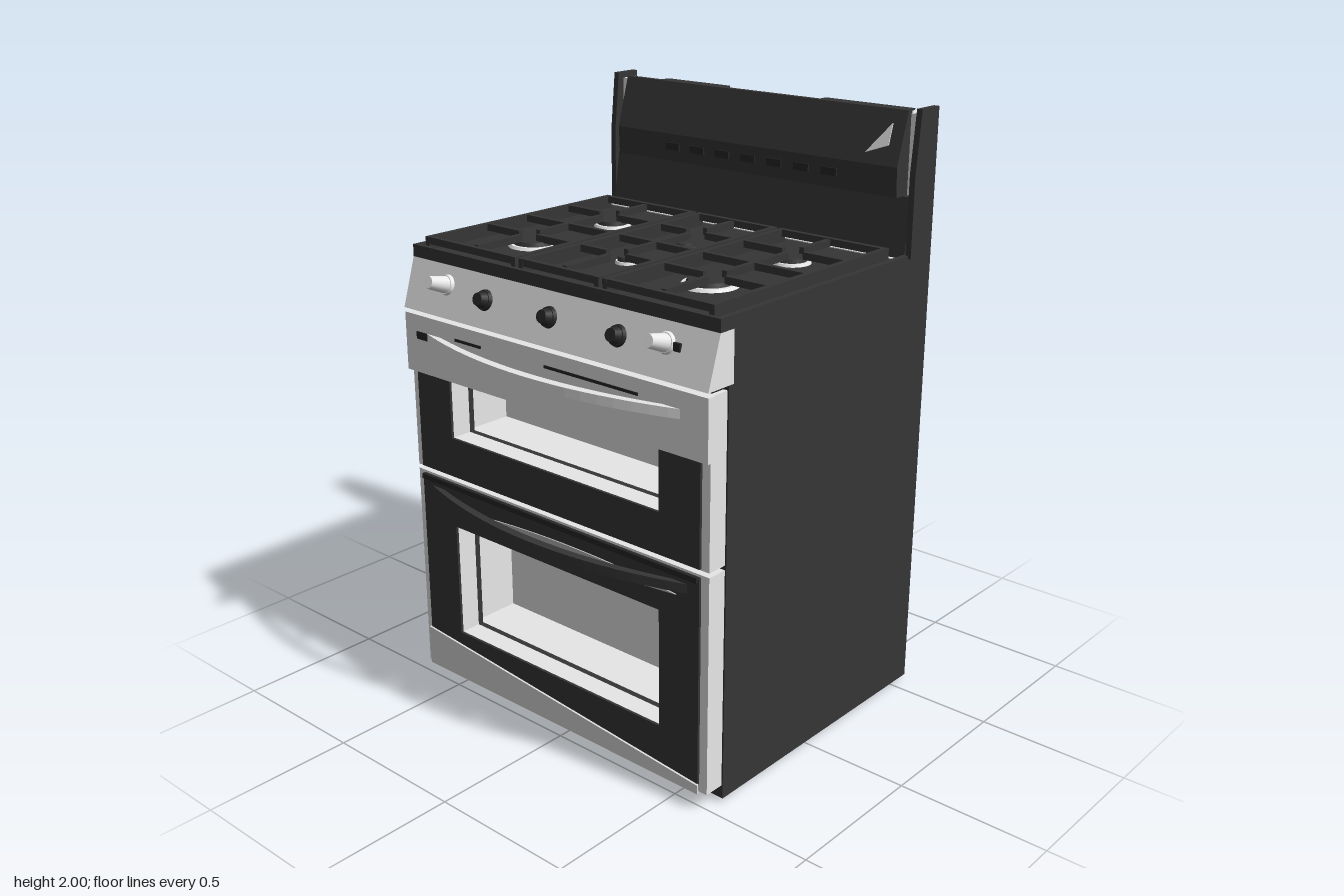
import * as THREE from 'three';

const mat = (name, color, side = THREE.FrontSide) => {
  const m = new THREE.MeshStandardMaterial({ color, side });
  m.name = name;
  return m;
};

export function createModel() {
  const range = new THREE.Group();
  range.name = 'gasRange';
  const enamel = mat('charcoal enamel', 0x353535);
  const black = mat('black trim', 0x262626);
  const steel = mat('brushed steel', 0xf0f0f0);
  const sheet = mat('rear sheet metal', 0xdcdcdc);
  const under = mat('underside grey', 0xb6b6b6);

  const add = (name, geo, m, x = 0, y = 0, z = 0) => {
    const mesh = new THREE.Mesh(geo, m);
    mesh.name = name;
    mesh.position.set(x, y, z);
    range.add(mesh);
    return mesh;
  };
  // box given by its limits on each axis
  const box = (name, m, x0, x1, y0, y1, z0, z1) =>
    add(name, new THREE.BoxGeometry(x1 - x0, y1 - y0, z1 - z0), m, (x0 + x1) / 2, (y0 + y1) / 2, (z0 + z1) / 2);
  const poly = (pts) => new THREE.Shape(pts.map(([a, b]) => new THREE.Vector2(a, b)));
  const extrude = (shape, depth) => new THREE.ExtrudeGeometry(shape, { depth, bevelEnabled: false, curveSegments: 20 });
  // a [z, y] profile pulled along x
  const across = (name, m, pts, width, x = 0) =>
    add(name, extrude(poly(pts), width).rotateY(-Math.PI / 2).translate(width / 2, 0, 0), m, x);
  const rect = (x0, x1, y0, y1) => [[x0, y0], [x1, y0], [x1, y1], [x0, y1]];
  // rectangular frame with a window opening
  const frame = (name, m, outer, hole, z0, z1) => {
    const s = poly(rect(...outer));
    s.holes.push(poly(rect(...hole)));
    return add(name, extrude(s, z1 - z0), m, 0, 0, z0);
  };

  // cabinet sides, rising into the backguard ends
  for (const s of [-1, 1]) {
    across('sidePanel', enamel, [[-0.57, 0.015], [0.44, 0.015], [0.44, 1.49], [-0.455, 1.49], [-0.455, 1.8], [-0.475, 2], [-0.57, 2]], 0.02, s * 0.63);
    box('bottomRail', enamel, s * 0.59 - 0.03, s * 0.59 + 0.03, 0.015, 0.05, -0.55, 0.43);
  }
  box('bottomPanel', under, -0.62, 0.62, 0.03, 0.06, -0.5, 0.43);
  box('frontRail', enamel, -0.62, 0.62, 0.015, 0.06, 0.41, 0.44);
  for (const x of [-0.57, 0.57]) for (const z of [-0.5, 0.39])
    add('foot', new THREE.CylinderGeometry(0.03, 0.035, 0.03, 12), black, x, 0.015, z);

  // back: inner sheet and a deep raised cover notched at the bottom
  box('rearSheet', sheet, -0.62, 0.62, 0.03, 1.5, -0.51, -0.49);
  const cover = poly([[-0.63, 0.02], [-0.58, 0.02], [-0.58, 0.46], [-0.17, 0.46], [-0.17, 0.21], [0.28, 0.21], [0.28, 0.46],
    [0.59, 0.46], [0.59, 0.02], [0.63, 0.02], [0.63, 1.97], [-0.63, 1.97]]);
  add('rearCover', extrude(cover, 0.075), sheet, 0, 0, -0.583);
  // gently swollen skin over the cover
  const swell = (x, y) => -0.584 - 0.028 * Math.sqrt(Math.max(0, Math.cos((x / 0.63) * Math.PI / 2))) * Math.sin(Math.PI * (1.97 - y) / 1.52) ** 1.2;
  const skin = new THREE.PlaneGeometry(1.26, 1.5, 20, 16).rotateY(Math.PI).translate(0, 1.215, 0);
  const p = skin.attributes.position;
  for (let i = 0; i < p.count; i++) p.setZ(i, swell(p.getX(i), p.getY(i)));
  skin.computeVertexNormals();
  add('rearSkin', skin, sheet);
  // dark openings in the rear skin
  const openings = [
    [[-0.5, 1.655], [-0.38, 1.665], [-0.36, 1.71], [-0.5, 1.71]],
    [[0.24, 1.39], [0.37, 1.38], [0.39, 1.49]],
    [[-0.1, 0.7], [0.02, 0.71], [-0.01, 0.83]],
  ];
  for (const pts of openings) add('rearOpening', extrude(poly(pts), 0.009), black, 0, 0, swell(...pts[1]) - 0.005);
  for (let x = -0.34; x < 0.5; x += 0.085) {
    const z = swell(x + 0.03, 1.72);
    box('rearSlot', black, x, x + 0.06, 1.717, 1.723, z - 0.003, z + 0.005);
  }

  // two ovens, each with a cabinet front, liner and door
  const ovens = [
    { hole: [-0.45, 0.45, 0.94, 1.15], outer: [-0.61, 0.61, 0.8, 1.335] },
    { hole: [-0.45, 0.45, 0.23, 0.625], outer: [-0.61, 0.61, 0.06, 0.785] },
  ];
  for (const { hole, outer } of ovens) {
    const [x0, x1, y0, y1] = outer;
    const a = hole[2] - 0.01, b = hole[3] + 0.03;
    frame('cabinetFront', enamel, [-0.62, 0.62, y0 - 0.015, y1 + 0.015], hole, 0.42, 0.44);
    box('ovenBack', steel, -0.5, 0.5, a, b, 0.23, 0.24);
    box('ovenFloor', steel, -0.5, 0.5, a - 0.01, a, 0.23, 0.42);
    box('ovenRoof', steel, -0.5, 0.5, b, b + 0.01, 0.23, 0.42);
    for (const s of [-1, 1]) box('ovenWall', steel, s * 0.495 - 0.005, s * 0.495 + 0.005, a, b, 0.24, 0.42);
    frame('doorSlab', steel, [x0 - 0.025, x1 + 0.025, y0, y1], hole, 0.44, 0.51);
    frame('doorFace', enamel, [x0 + 0.005, x1 - 0.005, y0 + 0.005, y1 - 0.008], hole, 0.51, 0.519);
  }
  // upper door fascia with slits, and the lower door's tapering kick strip
  box('upperDoorBand', steel, -0.64, 0.64, 1.14, 1.335, 0.5, 0.528);
  box('bandSlit', black, -0.585, -0.535, 1.255, 1.28, 0.526, 0.531);
  for (const [x0, x1] of [[-0.4, -0.28], [0, 0.38]]) box('bandSlit', black, x0, x1, 1.283, 1.292, 0.526, 0.531);
  add('lowerDoorTrim', extrude(poly([[-0.61, 0.06], [0.61, 0.06], [0.61, 0.09], [-0.61, 0.2]]), 0.008), sheet, 0, 0, 0.518);
  box('doorGap', black, -0.62, 0.62, 1.335, 1.35, 0.43, 0.49);
  box('doorSealLine', black, -0.6, 0.6, 0.762, 0.78, 0.515, 0.528);

  // bowed door handles
  for (const [y, w, m] of [[1.265, 0.56, steel], [0.73, 0.56, enamel]]) {
    const s = new THREE.Shape();
    s.moveTo(-w, 0.52);
    s.quadraticCurveTo(0, 0.72, w, 0.52);
    s.lineTo(w - 0.06, 0.52);
    s.quadraticCurveTo(0, 0.66, -w + 0.06, 0.52);
    add('doorHandle', extrude(s, 0.03).rotateX(Math.PI / 2), m, 0, y + 0.015, 0);
  }
  // pale lens-shaped recess under the lower handle
  const lens = new THREE.Shape();
  lens.moveTo(-0.42, 0.69);
  lens.quadraticCurveTo(0.04, 0.745, 0.52, 0.7);
  lens.quadraticCurveTo(0.04, 0.655, -0.42, 0.69);
  add('handleRecess', extrude(lens, 0.006), under, 0, 0, 0.518);

  // slanted control panel: two tall steel knobs and three low black ones
  across('controlPanel', steel, [[0.42, 1.35], [0.53, 1.35], [0.48, 1.51], [0.42, 1.51]], 1.28);
  for (const x of [-0.46, -0.28, 0, 0.28, 0.46]) {
    const tall = Math.abs(x) > 0.4;
    const knob = new THREE.Group();
    knob.name = 'knob';
    const base = new THREE.Mesh(new THREE.CylinderGeometry(0.03, 0.034, 0.012, 20), tall ? steel : black);
    const cap = new THREE.Mesh(new THREE.CylinderGeometry(0.02, 0.028, tall ? 0.075 : 0.025, 20), tall ? steel : black);
    base.name = 'knobBase';
    cap.name = 'knobCap';
    base.position.y = 0.006;
    cap.position.y = tall ? 0.045 : 0.022;
    knob.add(base, cap);
    knob.position.set(x, tall ? 1.45 : 1.435, tall ? 0.498 : 0.503);
    knob.rotation.x = Math.PI / 2 - 0.3;
    range.add(knob);
  }
  for (const s of [-1, 1]) box('knobMark', black, s * 0.505 - 0.012, s * 0.505 + 0.012, 1.435, 1.46, 0.498, 0.507);

  // cooktop with a raised rim
  box('cooktop', enamel, -0.64, 0.64, 1.485, 1.535, -0.46, 0.48);
  for (const s of [-1, 1]) box('cooktopRim', enamel, s * 0.63 - 0.01, s * 0.63 + 0.01, 1.535, 1.55, -0.44, 0.48);
  box('cooktopRim', enamel, -0.62, 0.62, 1.535, 1.55, 0.465, 0.48);

  // burners
  for (const [x, z, r, m] of [[-0.38, -0.18, 0.06, steel], [0.38, -0.18, 0.06, steel], [-0.38, 0.19, 0.08, steel],
    [0.36, 0.19, 0.085, steel], [0, -0.11, 0.05, enamel], [0, 0.16, 0.035, steel]]) {
    add('burnerRing', new THREE.CylinderGeometry(r, r * 1.08, 0.01, 24), m, x, 1.539, z);
    add('burnerCap', new THREE.CylinderGeometry(r * 0.8, r * 0.86, 0.014, 24), enamel, x, 1.55, z);
  }

  // three cast grates
  for (const [x0, x1] of [[-0.6, -0.185], [-0.17, 0.165], [0.18, 0.6]]) {
    const cx = (x0 + x1) / 2, t = 0.009, lo = 1.555, hi = 1.578;
    for (const x of [x0 + t, x1 - t]) box('grateSide', enamel, x - t, x + t, 1.535, hi, -0.39, 0.46);
    for (const z of [-0.38, 0.02, 0.45]) box('grateCross', enamel, x0, x1, lo, hi, z - t, z + t);
    for (const z of [-0.18, 0.2]) {
      box('grateFinger', enamel, x0, cx - 0.04, lo, hi, z - t, z + t);
      box('grateFinger', enamel, cx + 0.04, x1, lo, hi, z - t, z + t);
      box('grateFinger', enamel, cx - t, cx + t, lo, hi, z - 0.18, z - 0.04);
      box('grateFinger', enamel, cx - t, cx + t, lo, hi, z + 0.04, z + 0.23);
    }
  }

  // backguard: steel core, lower splash plate and overhanging console
  box('backguardCore', steel, -0.62, 0.62, 1.5, 1.98, -0.565, -0.5);
  for (const [x0, x1] of [[-0.46, -0.18], [0.22, 0.56]]) box('topPlate', enamel, x0, x1, 1.979, 1.986, -0.56, -0.51);
  across('splashPlate', enamel, [[-0.51, 1.5], [-0.44, 1.5], [-0.475, 1.725], [-0.51, 1.725]], 1.24);
  box('splashLedge', steel, -0.62, 0.62, 1.53, 1.538, -0.435, -0.42);
  across('console', enamel, [[-0.505, 1.725], [-0.44, 1.725], [-0.435, 1.82], [-0.485, 1.99], [-0.505, 1.99]], 1.17);
  // console plate and button row
  const plate = add('consolePlate', extrude(poly([[-0.04, -0.05], [0.04, -0.02], [0.04, 0.05]]), 0.006), steel, 0.5, 1.9, -0.461);
  plate.rotation.x = -0.286;
  for (let i = -3; i <= 3; i++) box('consoleButton', black, i * 0.11 - 0.03, i * 0.11 + 0.03, 1.765, 1.79, -0.44, -0.431);

  return range;
}
